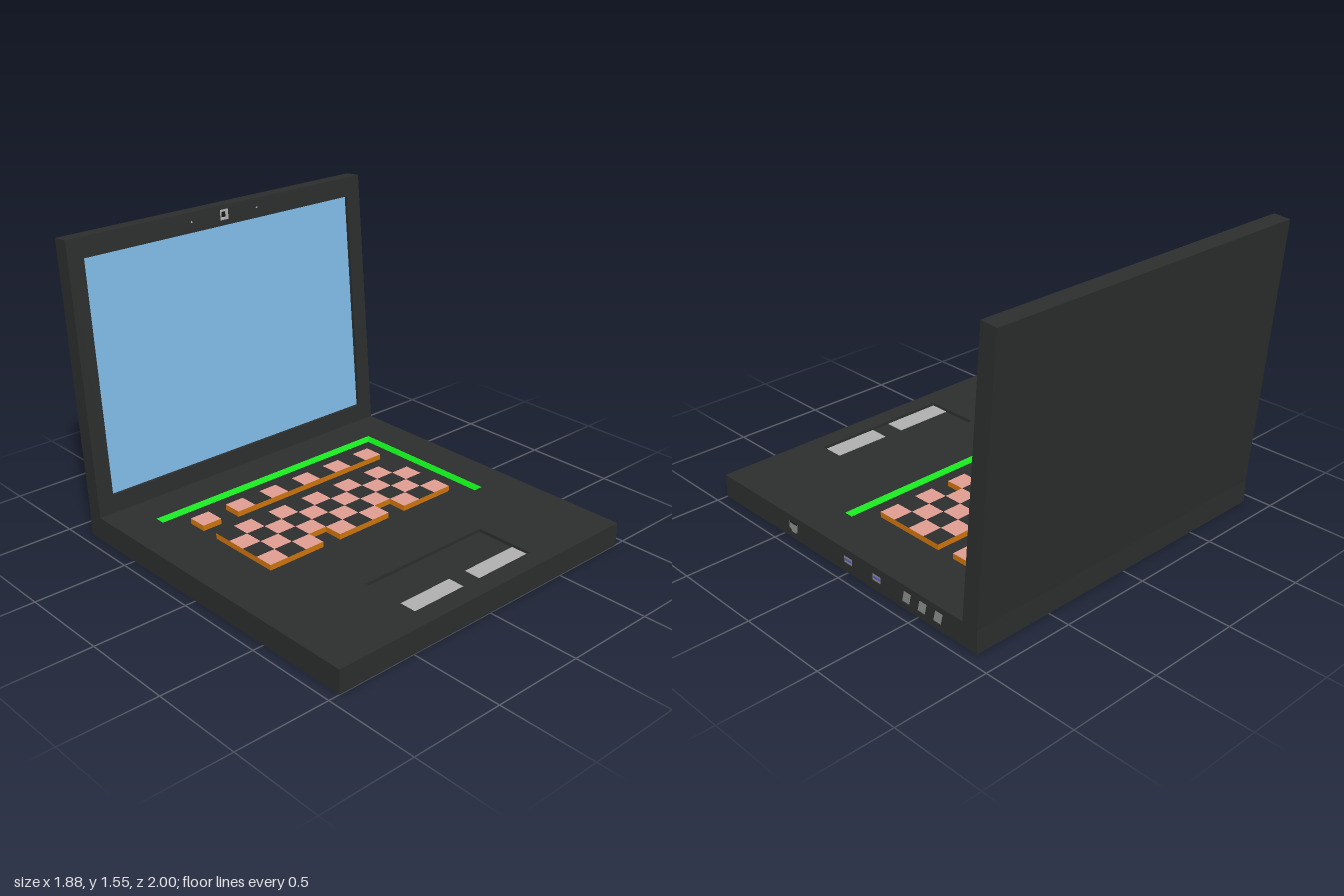
import * as THREE from 'three';

const mat = (color, side = THREE.FrontSide) =>
  new THREE.MeshStandardMaterial({ color, side, flatShading: true });
const M = {
  body: mat(0x2c2e2e), screen: mat(0x80bbe8), pink: mat(0xe09c92), orange: mat(0xd0740c),
  green: mat(0x0fe81a), grey: mat(0xb0b0b0), port: mat(0x8c8f8f), blue: mat(0x5a55c8), black: mat(0x151616),
};

function add(parent, name, geometry, material) {
  const mesh = new THREE.Mesh(geometry, material);
  mesh.name = name;
  parent.add(mesh);
  return mesh;
}

// Box given by its extents on each axis
function box(parent, name, [x0, x1], [y0, y1], [z0, z1], material) {
  const g = new THREE.BoxGeometry(x1 - x0, y1 - y0, z1 - z0);
  g.translate((x0 + x1) / 2, (y0 + y1) / 2, (z0 + z1) / 2);
  return add(parent, name, g, material);
}

const rect = (x0, x1, y0, y1) => [[x0, y0], [x1, y0], [x1, y1], [x0, y1]];
const vec = (pts) => pts.map(([x, y]) => new THREE.Vector2(x, y));

// Flat slab with holes cut through it
function slab(outline, holes, depth) {
  const shape = new THREE.Shape(vec(outline));
  holes.forEach((h) => shape.holes.push(new THREE.Path(vec(h))));
  return new THREE.ExtrudeGeometry(shape, { depth, bevelEnabled: false });
}

// Sloping wall between an upper rectangle and a lower one inset from it
function slopedRim([x0, x1], [z0, z1], yTop, yLow, inset) {
  const pos = [];
  for (const [y, i] of [[yTop, 0], [yLow, inset]]) {
    for (const [x, z] of rect(x0 + i, x1 - i, z0 + i, z1 - i)) pos.push(x, y, z);
  }
  const index = [];
  for (let a = 0; a < 4; a++) {
    const b = (a + 1) % 4;
    index.push(a, a + 4, b, b, a + 4, b + 4);
  }
  const g = new THREE.BufferGeometry();
  g.setAttribute('position', new THREE.Float32BufferAttribute(pos, 3));
  g.setIndex(index);
  const flat = g.toNonIndexed();
  flat.computeVertexNormals();
  return flat;
}

const W = 0.94, BACK = -0.88, FRONT = 1, TOP = 0.125, FLOOR = 0.1;

function buildBase() {
  const base = new THREE.Group();
  base.name = 'base';
  const side = 0.925;
  box(base, 'baseCore', [-W, side], [0, FLOOR], [BACK, FRONT], M.body);

  // Top deck with openings for the keyboard and the touchpad
  const kx = [-0.735, 0.735], kz = [-0.595, 0.275];
  const px = [-0.39, 0.39], pz = [0.575, 0.895];
  const deck = slab(rect(-W, W, -FRONT, -BACK),
    [rect(...kx, -kz[1], -kz[0]), rect(...px, -pz[1], -pz[0])], TOP - FLOOR);
  deck.rotateX(-Math.PI / 2).translate(0, FLOOR, 0);
  add(base, 'topDeck', deck, M.body);
  add(base, 'keyboardRim', slopedRim(kx, kz, TOP, FLOOR, 0.018), mat(0x0fe81a, THREE.DoubleSide));

  // Touchpad and its two buttons
  box(base, 'touchpad', px, [FLOOR - 0.01, 0.107], pz, M.body);
  for (const s of [-1, 1]) {
    const g = new THREE.BoxGeometry(0.335, 0.01, 0.108);
    g.translate(s * 0.2225, 0.105, 0.841);
    add(base, 'touchpadButton', g, M.grey);
  }

  // Side panel with port openings; the outline runs along u = -z
  const vents = [0, 1, 2].map((i) => {
    const u = 0.385 + i * 0.105;
    return [[u, 0.032], [u + 0.053, 0.032], [u + 0.068, 0.094], [u + 0.015, 0.094]];
  });
  const network = [[-0.445, 0.03], [-0.405, 0.03], [-0.402, 0.042], [-0.39, 0.048],
    [-0.39, 0.092], [-0.463, 0.092], [-0.463, 0.048], [-0.448, 0.042]];
  const usb = [0, 0.208].map((u) => rect(u - 0.032, u + 0.032, 0.045, 0.085));
  const holes = [network, ...usb, ...vents];
  const panel = slab(rect(-FRONT, -BACK, 0, FLOOR), holes, W - side);
  panel.rotateY(Math.PI / 2).translate(side, 0, 0);
  add(base, 'portPanel', panel, M.body);
  holes.forEach((h, i) => {
    const plate = slab(h, [], 0.01);
    plate.rotateY(Math.PI / 2).translate(side, 0, 0);
    add(base, i > 2 ? 'sideVent' : 'portPlate', plate, M.port);
  });
  box(base, 'networkPortContacts', [side, 0.938], [0.08, 0.088], [0.4, 0.453], M.black);
  for (const z of [0, -0.208]) {
    box(base, 'usbTongue', [side, 0.938], [0.06, 0.07], [z - 0.024, z + 0.024], M.blue);
  }
  return base;
}

function buildKeyboard() {
  const keyboard = new THREE.Group();
  keyboard.name = 'keyboard';
  const cols = 11, x0 = -0.61, w = 1.22 / cols, d = 0.105;
  // Back edge of each row, first pink column, and columns left empty
  const rows = [
    { z: -0.473, pink: 0, empty: [1] },
    { z: -0.265, pink: 1, empty: [] },
    { z: -0.16, pink: 0, empty: [] },
    { z: -0.055, pink: 1, empty: [] },
    { z: 0.05, pink: 0, empty: [3, 7] },
  ];
  for (const { z, pink, empty } of rows) {
    for (let c = 0; c < cols; c++) {
      if (empty.includes(c)) continue;
      const cap = c % 2 === pink ? M.pink : M.body;
      const x = x0 + c * w;
      box(keyboard, 'key', [x, x + w], [FLOOR, 0.13], [z, z + d],
        [M.orange, M.orange, cap, M.orange, M.orange, M.orange]);
    }
  }
  return keyboard;
}

function buildLid() {
  const lid = new THREE.Group();
  lid.name = 'lid';
  const H = 1.43, T = 0.09, inset = 0.022;
  box(lid, 'lidBack', [-W, W], [0, H], [-T, -inset], M.body);
  const cam = [-0.028, 0.028, 1.352, 1.408];
  const bezel = slab(rect(-W, W, 0, H), [rect(-0.85, 0.85, 0.095, 1.325), rect(...cam)], inset);
  bezel.translate(0, 0, -inset);
  add(lid, 'bezel', bezel, M.body);
  box(lid, 'screen', [-0.85, 0.85], [0.095, 1.325], [-inset - 0.01, -inset + 0.002], M.screen);

  // Camera: square grey frame around a dark lens, with a microphone on each side
  const frame = slab(rect(...cam), [rect(-0.015, 0.015, 1.365, 1.395)], 0.016);
  frame.translate(0, 0, -inset);
  add(lid, 'cameraFrame', frame, M.grey);
  box(lid, 'cameraLens', [-0.015, 0.015], [1.365, 1.395], [-inset, -0.014], M.black);
  for (const s of [-1, 1]) {
    const dot = new THREE.CylinderGeometry(0.005, 0.005, 0.004, 8);
    dot.rotateX(Math.PI / 2).translate(s * 0.21, 1.38, 0);
    add(lid, 'microphone', dot, M.grey);
  }
  lid.position.set(0, TOP, -0.79);
  lid.rotation.x = -0.084;
  return lid;
}

export function createModel() {
  const model = new THREE.Group();
  model.name = 'laptop';
  model.add(buildBase(), buildKeyboard(), buildLid());
  return model;
}
